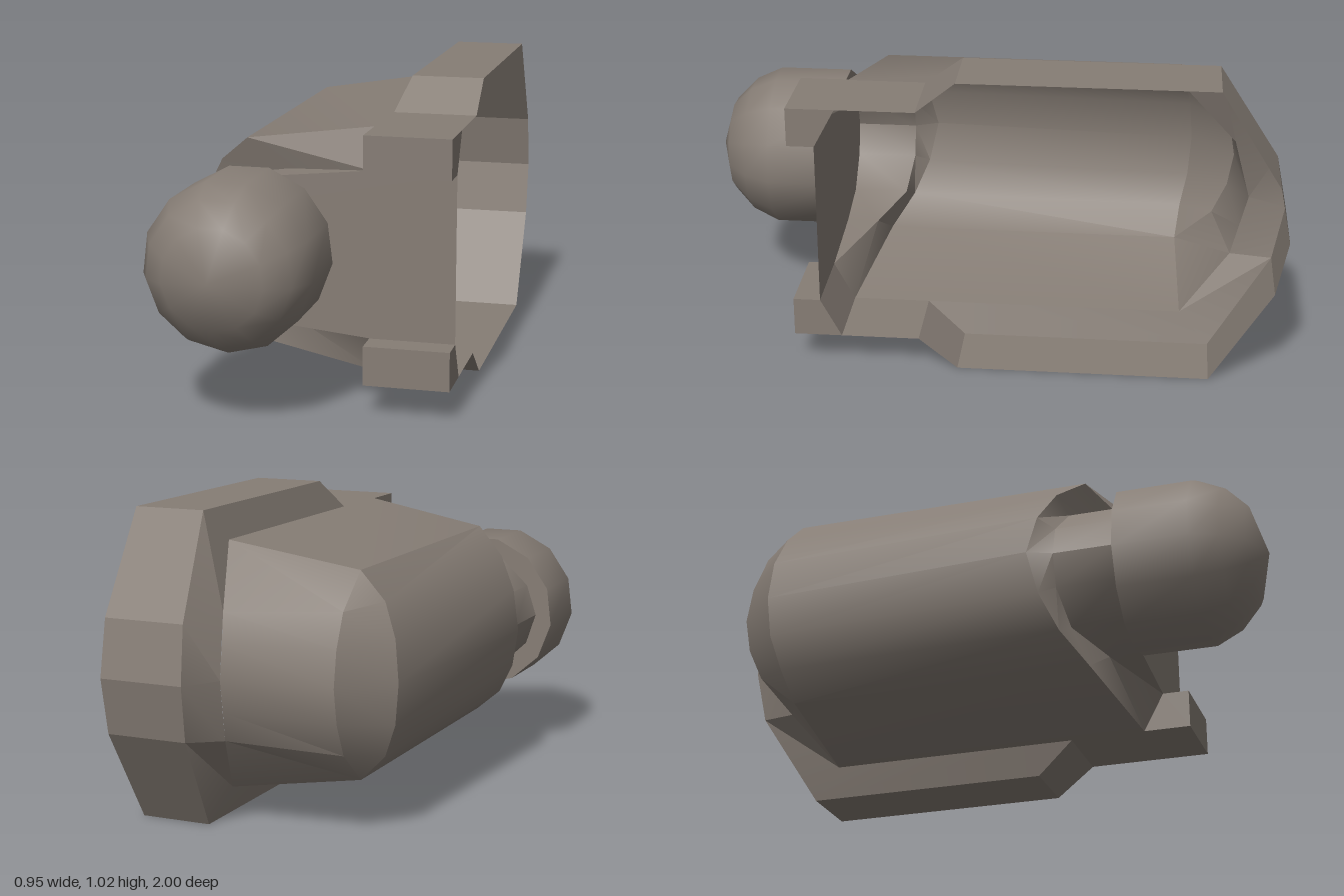
import * as THREE from 'three';
import { toCreasedNormals } from 'three/addons/utils/BufferGeometryUtils.js';

const MID = 0.513; // mirror height
const OPEN = 0.477; // x of the open side

// Completes a half row (top to middle) with its mirror image below
const mirrorRow = (half) => [
  ...half,
  ...half.slice(0, -1).reverse().map(([x, y, z]) => [x, 2 * MID - y, z]),
];

// Skins consecutive rows of points with quads
function loft(halfRows, crease = 0.6) {
  const rows = halfRows.map(mirrorRow);
  const n = rows[0].length;
  const index = [];
  for (let r = 0; r < rows.length - 1; r++) {
    for (let i = 0; i < n - 1; i++) {
      const a = r * n + i, b = a + n;
      index.push(a, b, a + 1, a + 1, b, b + 1);
    }
  }
  const geo = new THREE.BufferGeometry();
  geo.setAttribute('position', new THREE.Float32BufferAttribute(rows.flat(2), 3));
  geo.setIndex(index);
  return toCreasedNormals(geo, crease);
}

export function createModel() {
  const group = new THREE.Group();
  const metal = new THREE.MeshStandardMaterial({ color: 0x867d75, side: THREE.DoubleSide });
  metal.name = 'warm grey';
  const add = (name, geo) => {
    const mesh = new THREE.Mesh(geo, metal);
    mesh.name = name;
    group.add(mesh);
    return mesh;
  };

  // Cross-sections of the hollow body, top edge to middle
  const backEdge = [[0.2, 0.92, -0.66], [-0.25, 0.85, -0.64], [-0.34, 0.76, -0.655], [-0.385, 0.65, -0.68], [-0.4, MID, -0.69]];
  const frontEdge = [[0.2, 0.92, 0.47], [-0.25, 0.85, 0.4], [-0.36, 0.76, 0.33], [-0.425, 0.65, 0.28], [-0.455, MID, 0.25]];
  const shoulder = [[0.2, 0.79, 0.54], [-0.1, 0.76, 0.43], [-0.28, 0.72, 0.35], [-0.385, 0.62, 0.33], [-0.42, MID, 0.33]];
  const neckEnd = shoulder.map(([x, y]) => [x, y, 0.54]);
  add('bodyShell', loft([backEdge, frontEdge, shoulder, neckEnd]));

  // Rounded back end of the body
  const backMiddle = [backEdge[1], [-0.25, 0.74, -0.77], [-0.25, 0.63, -0.82], [-0.25, MID, -0.84]];
  const backRim = [backEdge[0], [0.135, 0.72, -0.825], [0.125, 0.62, -0.855], [0.12, MID, -0.88]];
  add('backEnd', loft([backEdge.slice(1), backMiddle, backRim], 0.5));

  // Flange: slanted ledge, then a straight outer wall to the open side
  const ledgeInner = [[0.2, 0.92, 0.21], [0.2, 0.92, 0.08], backEdge[0], backRim[1], backRim[3]];
  const ledgeOuter = [[0.2, 0.92, 0.21], [0.235, 1.024, 0.08], [0.235, 1.024, -0.76], [0.2, 0.7, -0.963], [0.19, MID, -1]];
  add('flangeLedge', loft([ledgeInner, ledgeOuter], 0.35));
  add('flangeWall', loft([ledgeOuter, ledgeOuter.map(([, y, z]) => [OPEN, y, z])], 0.35));

  // Side walls and the slant-backed tabs at their front, above and below
  for (const side of [1, -1]) {
    const label = side > 0 ? 'upper' : 'lower';
    const wall = new THREE.PlaneGeometry(OPEN - 0.2, 0.26);
    wall.rotateX(-side * Math.PI / 2);
    add(label + 'SideWall', wall).position.set((OPEN + 0.2) / 2, MID + side * 0.407, 0.34);

    const outline = [[0.47, 0.407], [0.63, 0.407], [0.63, 0.277], [0.54, 0.277]];
    const tab = new THREE.ExtrudeGeometry(
      new THREE.Shape(outline.map(([z, y]) => new THREE.Vector2(-z, MID + side * y))),
      { depth: OPEN - 0.195, bevelEnabled: false },
    );
    tab.rotateY(Math.PI / 2);
    add(label + 'Tab', tab).position.x = 0.195;
  }

  // Flat front plate closing the neck
  const plate = mirrorRow([[OPEN, 0.79], ...neckEnd]);
  const plateShape = new THREE.Shape(plate.map(([x, y]) => new THREE.Vector2(x, y)));
  add('frontPlate', new THREE.ShapeGeometry(plateShape)).position.z = 0.54;

  // Thirteen-sided domed nose
  const profile = [[0, 0.541], [0.278, 0.541], [0.278, 0.79], [0.237, 0.88], [0.165, 0.95], [0, 1]];
  const dome = new THREE.LatheGeometry(profile.map(([r, z]) => new THREE.Vector2(r, z)), 13);
  dome.rotateX(Math.PI / 2);
  add('domeNose', toCreasedNormals(dome, 0.9)).position.set(-0.202, MID, 0);

  return group;
}
